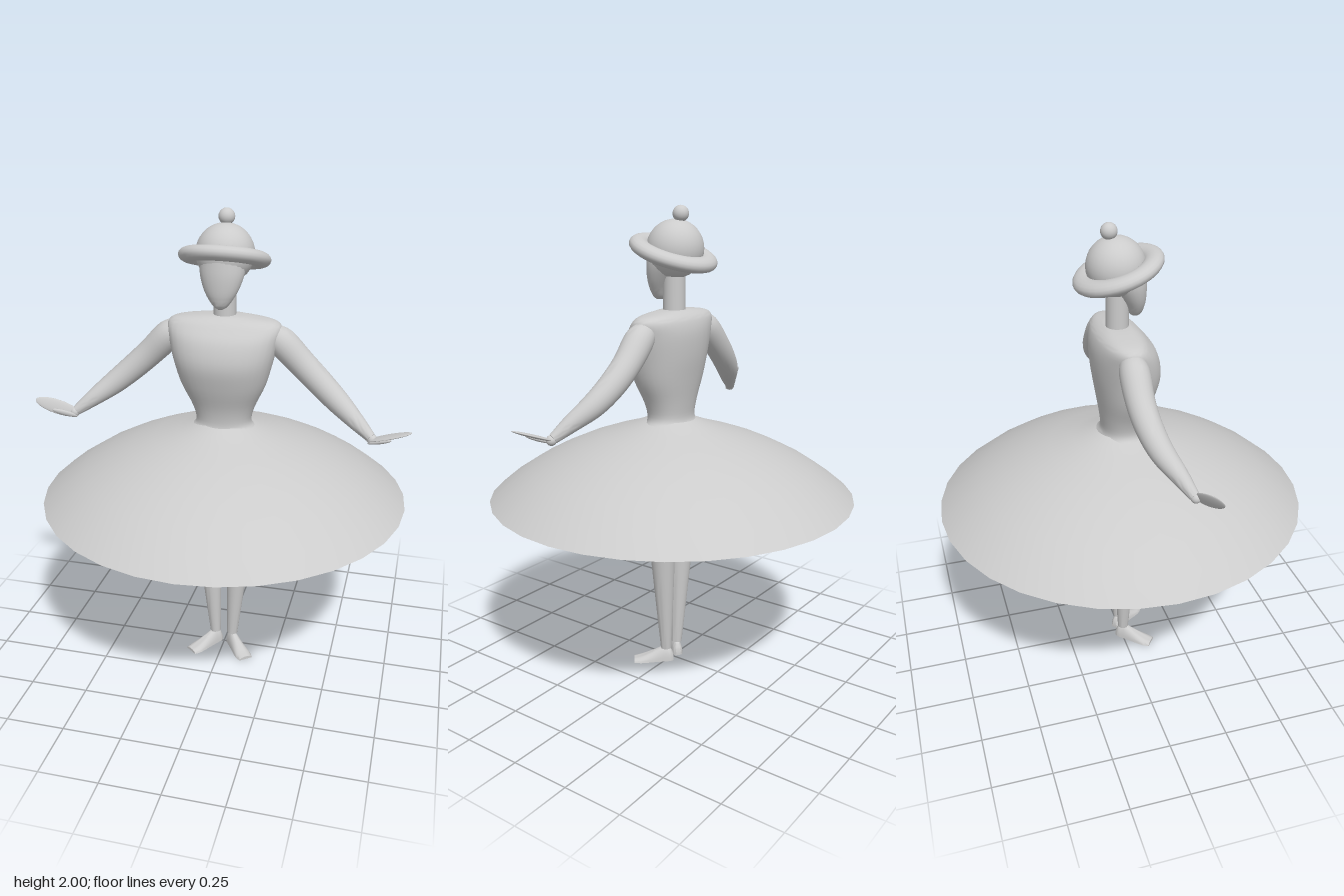
import * as THREE from 'three';
import { toCreasedNormals } from 'three/addons/utils/BufferGeometryUtils.js';

const V = (x, y, z) => new THREE.Vector3(x, y, z);
const material = new THREE.MeshStandardMaterial({ color: 0xcccccc });
const thinMaterial = new THREE.MeshStandardMaterial({ color: 0xcccccc, side: THREE.DoubleSide });

// Skins elliptical rings {c, u, v} (centre and two half axes), smoothed along the length and capped
function loft(rings, { steps = 4, sides = 24, crease = 0.8, power = 1, floor = -Infinity } = {}) {
  const [C, U, W] = ['c', 'u', 'v'].map(k => new THREE.CatmullRomCurve3(rings.map(r => r[k]), false, 'catmullrom'));
  const n = (rings.length - 1) * steps, pos = [], idx = [];
  const soft = t => Math.sign(t) * Math.abs(t) ** power;
  const put = p => pos.push(p.x, Math.max(p.y, floor), p.z);
  for (let i = 0; i <= n; i++) {
    const c = C.getPoint(i / n), u = U.getPoint(i / n), v = W.getPoint(i / n);
    for (let j = 0; j < sides; j++) {
      const a = j / sides * Math.PI * 2;
      put(c.clone().addScaledVector(u, soft(Math.cos(a))).addScaledVector(v, soft(Math.sin(a))));
    }
  }
  put(rings[0].c);
  put(rings[rings.length - 1].c);
  const start = (n + 1) * sides, end = start + 1;
  for (let j = 0; j < sides; j++) {
    const k = (j + 1) % sides;
    for (let i = 0; i < n; i++) {
      const a = i * sides + j, b = i * sides + k;
      idx.push(a, a + sides, b, b, a + sides, b + sides);
    }
    idx.push(start, j, k, end, n * sides + k, n * sides + j);
  }
  const g = new THREE.BufferGeometry();
  g.setAttribute('position', new THREE.Float32BufferAttribute(pos, 3));
  g.setIndex(idx);
  return toCreasedNormals(g, crease);
}

// Horizontal ring from height, half width, front z and back z
const level = ([y, w, front, back]) => ({
  c: V(0, y, (front + back) / 2), u: V(w, 0, 0), v: V(0, 0, (front - back) / 2),
});

// Round limb along points [x, y, z, radius]; side flips x
function limb(points, side) {
  const p = points.map(q => V(q[0] * side, q[1], q[2]));
  return loft(points.map((q, i) => {
    const d = p[Math.min(i + 1, p.length - 1)].clone().sub(p[Math.max(i - 1, 0)]).normalize();
    const u = V(0, 0, 1).cross(d).normalize();
    return { c: p[i], u: u.clone().multiplyScalar(q[3]), v: u.clone().cross(d).multiplyScalar(q[3]) };
  }));
}

export function createModel() {
  const model = new THREE.Group();
  const add = (name, geometry, parent = model, mat = material) => {
    const mesh = new THREE.Mesh(geometry, mat);
    mesh.name = name;
    parent.add(mesh);
    return mesh;
  };
  const ball = (name, r, x, y, z, parent) => {
    const mesh = add(name, new THREE.SphereGeometry(r, 28, 18), parent);
    mesh.position.set(x, y, z);
    return mesh;
  };

  // Wide domed skirt, a thin open shell
  const skirtProfile = [[0.78, 0.79], [0.7, 0.856], [0.6, 0.922], [0.5, 0.975], [0.4, 1.02],
    [0.3, 1.056], [0.2, 1.087], [0.15, 1.105], [0.1, 1.125]];
  add('skirt', new THREE.LatheGeometry(skirtProfile.map(p => new THREE.Vector2(...p)), 32), model, thinMaterial);

  // Torso with narrow waist, full chest and square shoulders
  add('torso', loft([
    [1.095, 0.155, 0.1, -0.1], [1.13, 0.118, 0.088, -0.08], [1.2, 0.132, 0.098, -0.085],
    [1.3, 0.178, 0.132, -0.1], [1.4, 0.207, 0.154, -0.114], [1.49, 0.228, 0.135, -0.117],
    [1.545, 0.236, 0.095, -0.105], [1.57, 0.2, 0.068, -0.085], [1.585, 0.09, 0.04, -0.06],
  ].map(level), { sides: 32, power: 0.9 }));
  add('pelvis', loft([
    [0.83, 0.03, 0.035, -0.035], [0.88, 0.085, 0.07, -0.075], [0.96, 0.135, 0.095, -0.1],
    [1.04, 0.128, 0.09, -0.092], [1.11, 0.115, 0.08, -0.08],
  ].map(level)));

  // Neck and tapering head
  const neck = add('neck', new THREE.CylinderGeometry(0.046, 0.046, 0.24, 24));
  neck.position.set(0, 1.69, -0.011);
  add('head', loft([
    [1.622, 0.012, 0.075, 0.05], [1.635, 0.03, 0.088, 0.035], [1.67, 0.055, 0.099, 0.016],
    [1.71, 0.075, 0.104, -0.01], [1.76, 0.09, 0.105, -0.045], [1.82, 0.095, 0.1, -0.085],
  ].map(level)));

  // Tilted hat with rolled brim and bobble
  const hat = new THREE.Group();
  hat.name = 'hat';
  model.add(hat);
  ball('hatCrown', 0.118, 0, 1.829, -0.016, hat);
  const brimGeometry = new THREE.TorusGeometry(0.143, 0.042, 16, 40);
  brimGeometry.rotateX(Math.PI / 2);
  brimGeometry.scale(1, 0.72, 1);
  const brim = add('hatBrim', brimGeometry, hat);
  brim.position.set(0, 1.813, -0.007);
  brim.rotation.x = -0.32;
  ball('hatBobble', 0.033, 0, 1.967, -0.043, hat);

  for (const side of [1, -1]) {
    const s = side > 0 ? 'left' : 'right';

    // Arm swept out, down and forward
    add(s + 'Arm', limb([
      [0.18, 1.525, -0.01, 0.04], [0.235, 1.485, -0.01, 0.06], [0.32, 1.4, -0.012, 0.057],
      [0.4, 1.327, 0, 0.054], [0.48, 1.26, 0.027, 0.048], [0.56, 1.2, 0.07, 0.035],
      [0.625, 1.15, 0.103, 0.021],
    ], side));

    // Flat leaf-shaped hand and a thumb below it
    const hand = new THREE.Group();
    hand.name = s + 'Hand';
    model.add(hand);
    ball('wrist', 0.021, side * 0.63, 1.145, 0.107, hand);
    const leaf = (name, a, b, width, thick) => {
      const d = b.clone().sub(a), mesh = ball(name, 1, (a.x + b.x) / 2 * side, (a.y + b.y) / 2, (a.z + b.z) / 2, hand);
      mesh.scale.set(d.length() / 2, thick, width);
      mesh.quaternion.setFromUnitVectors(V(1, 0, 0), V(d.x * side, d.y, d.z).normalize());
    };
    leaf('fingers', V(0.61, 1.137, 0.108), V(0.785, 1.205, 0.155), 0.03, 0.007);
    leaf('thumb', V(0.615, 1.13, 0.118), V(0.71, 1.17, 0.165), 0.012, 0.008);

    // Straight tapering leg
    add(s + 'Leg', limb([
      [0.088, 0.985, 0, 0.025], [0.088, 0.965, 0, 0.06], [0.087, 0.91, 0, 0.076],
      [0.083, 0.79, 0, 0.07], [0.062, 0.43, 0.002, 0.048], [0.04, 0.06, 0.004, 0.024],
    ], side));

    // Turned-out foot, flat soled and widening to the toe
    const foot = add(s + 'Foot', loft([
      [-0.032, 0.014, 0.03], [-0.018, 0.023, 0.056], [0.01, 0.026, 0.066], [0.05, 0.03, 0.05],
      [0.11, 0.037, 0.024], [0.145, 0.032, 0.014],
    ].map(([z, w, h]) => ({ c: V(0, 0, z), u: V(w, 0, 0), v: V(0, -h, 0) })), { floor: 0, crease: 0.7 }));
    foot.position.set(side * 0.04, 0, 0.003);
    foot.rotation.y = side * 0.67;
  }
  return model;
}
